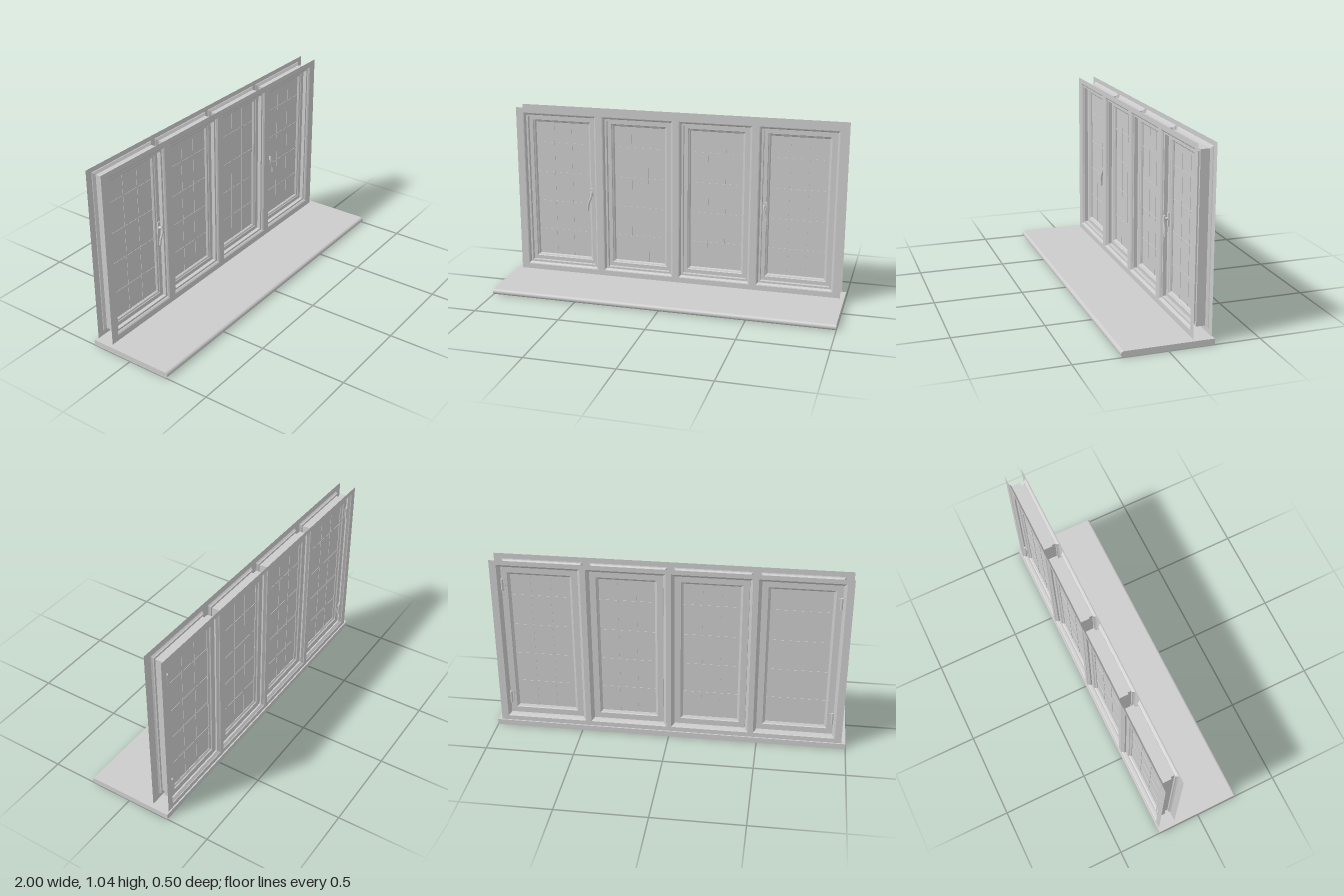
import * as THREE from 'three';

const grey = new THREE.MeshStandardMaterial({ color: 0xcccccc, side: THREE.DoubleSide });
const Y0 = 0.064, Y1 = 1.01;          // opening bottom and top
const FRONT = -0.142, BACK = -0.242;  // frame faces

function add(parent, name, geometry, x = 0, y = 0, z = 0) {
  const mesh = new THREE.Mesh(geometry, grey);
  mesh.name = name;
  mesh.position.set(x, y, z);
  parent.add(mesh);
  return mesh;
}

const box = (w, h, d) => new THREE.BoxGeometry(w, h, d);

// Corners of an opening moved inward by an inset
const corners = ([x0, x1], i) => [
  [x0 + i, Y0 + i], [x1 - i, Y0 + i], [x1 - i, Y1 - i], [x0 + i, Y1 - i],
];

// Mitred rectangular moulding: a profile of [inset, z] carried round an opening
function moulding(opening, profile) {
  const pos = [];
  for (let p = 0; p < profile.length - 1; p++) {
    const [ia, za] = profile[p], [ib, zb] = profile[p + 1];
    const A = corners(opening, ia), B = corners(opening, ib);
    for (let k = 0; k < 4; k++) {
      const n = (k + 1) % 4;
      const a = [...A[k], za], b = [...A[n], za], c = [...B[n], zb], d = [...B[k], zb];
      pos.push(...a, ...b, ...c, ...a, ...c, ...d);
    }
  }
  const g = new THREE.BufferGeometry();
  g.setAttribute('position', new THREE.Float32BufferAttribute(pos, 3));
  g.computeVertexNormals();
  return g;
}

// Flat frame face with one hole per opening
function framePlate(openings, inset) {
  const toPath = (pts) => pts.map(([x, y]) => new THREE.Vector2(x, y));
  const s = new THREE.Shape(toPath([[-0.976, 0.033], [0.976, 0.033], [0.976, 1.04], [-0.976, 1.04]]));
  for (const o of openings) s.holes.push(new THREE.Path(toPath(corners(o, inset).reverse())));
  return new THREE.ShapeGeometry(s);
}

// Stepped reveal between the two frame faces
const REVEAL = [[0, FRONT], [0.005, -0.144], [0.011, -0.151], [0.013, -0.157], [0.024, -0.157],
  [0.024, -0.179], [0.011, -0.179], [0.011, -0.228], [0.007, -0.231], [-0.002, -0.238], [-0.004, BACK]];

// Closed sash section with bevels towards the glass
const SASH = [[0.013, -0.18], [0.046, -0.18], [0.049, -0.184], [0.056, -0.187], [0.06, -0.195],
  [0.06, -0.208], [0.05, -0.214], [0.047, -0.22], [0.013, -0.22], [0.013, -0.18]];

function makeWindow(opening) {
  const g = new THREE.Group();
  g.name = 'window';
  add(g, 'reveal', moulding(opening, REVEAL));
  add(g, 'sash', moulding(opening, SASH));
  // Pane
  const [x0, x1] = [opening[0] + 0.06, opening[1] - 0.06];
  const [y0, y1] = [Y0 + 0.06, Y1 - 0.056];
  const w = x1 - x0, h = y1 - y0, cx = (x0 + x1) / 2, cy = (y0 + y1) / 2, cz = -0.2015;
  add(g, 'pane', box(w, h, 0.006), cx, cy, cz);
  // Glazing bars
  for (const k of [1, 2]) add(g, 'verticalBar', box(0.006, h, 0.01), x0 + (w * k) / 3, cy, cz);
  for (const y of [0.281, 0.46, 0.641, 0.823]) add(g, 'horizontalBar', box(w, 0.007, 0.01), cx, y, cz);
  return g;
}

// Lever handle, side = -1 or 1
function makeHandle(side) {
  const g = new THREE.Group();
  g.name = 'handle';
  add(g, 'handlePlate', box(0.02, 0.075, 0.007), side * 0.522, 0.525, -0.177);
  const boss = add(g, 'handleBoss', new THREE.CylinderGeometry(0.008, 0.009, 0.018, 16), side * 0.522, 0.53, -0.166);
  boss.rotation.x = Math.PI / 2;
  const path = new THREE.CatmullRomCurve3([[0.52, 0.545, -0.156], [0.521, 0.52, -0.151],
    [0.532, 0.492, -0.15], [0.54, 0.47, -0.151], [0.543, 0.438, -0.153]]
    .map(([x, y, z]) => new THREE.Vector3(side * x, y, z)));
  add(g, 'lever', new THREE.TubeGeometry(path, 24, 0.0065, 10));
  for (const t of [0, 1]) {
    const p = path.getPoint(t);
    add(g, 'leverEnd', new THREE.SphereGeometry(0.0065, 10, 8), p.x, p.y, p.z);
  }
  return g;
}

// Sill with a rounded front nose
function makeSill() {
  const r = 0.0165, z = 0.25 - r;
  const s = new THREE.Shape();
  s.moveTo(0.25, 0);
  s.lineTo(0.25, 2 * r);
  s.lineTo(-z, 2 * r);
  s.absarc(-z, r, r, Math.PI / 2, Math.PI * 1.5, false);
  s.closePath();
  const g = new THREE.ExtrudeGeometry(s, { depth: 2, bevelEnabled: false, curveSegments: 12 });
  return g.rotateY(Math.PI / 2).translate(-1, 0, 0);
}

export function createModel() {
  const model = new THREE.Group();
  model.name = 'fourPartWindow';
  add(model, 'sill', makeSill());

  const openings = [[-0.933, -0.483], [-0.444, -0.018], [0.018, 0.444], [0.483, 0.933]];
  add(model, 'frameFront', framePlate(openings, 0), 0, 0, FRONT);
  add(model, 'frameBack', framePlate(openings, -0.004), 0, 0, BACK);
  for (const o of openings) model.add(makeWindow(o));

  for (const side of [-1, 1]) {
    model.add(makeHandle(side));
    // Hinges on the outer edges, at the back
    for (const y of [0.18, 0.89]) {
      add(model, 'hinge', new THREE.CylinderGeometry(0.007, 0.007, 0.07, 12), side * 0.915, y, -0.225);
      add(model, 'hingeLeaf', box(0.018, 0.06, 0.004), side * 0.908, y, -0.221);
    }
  }
  return model;
}
